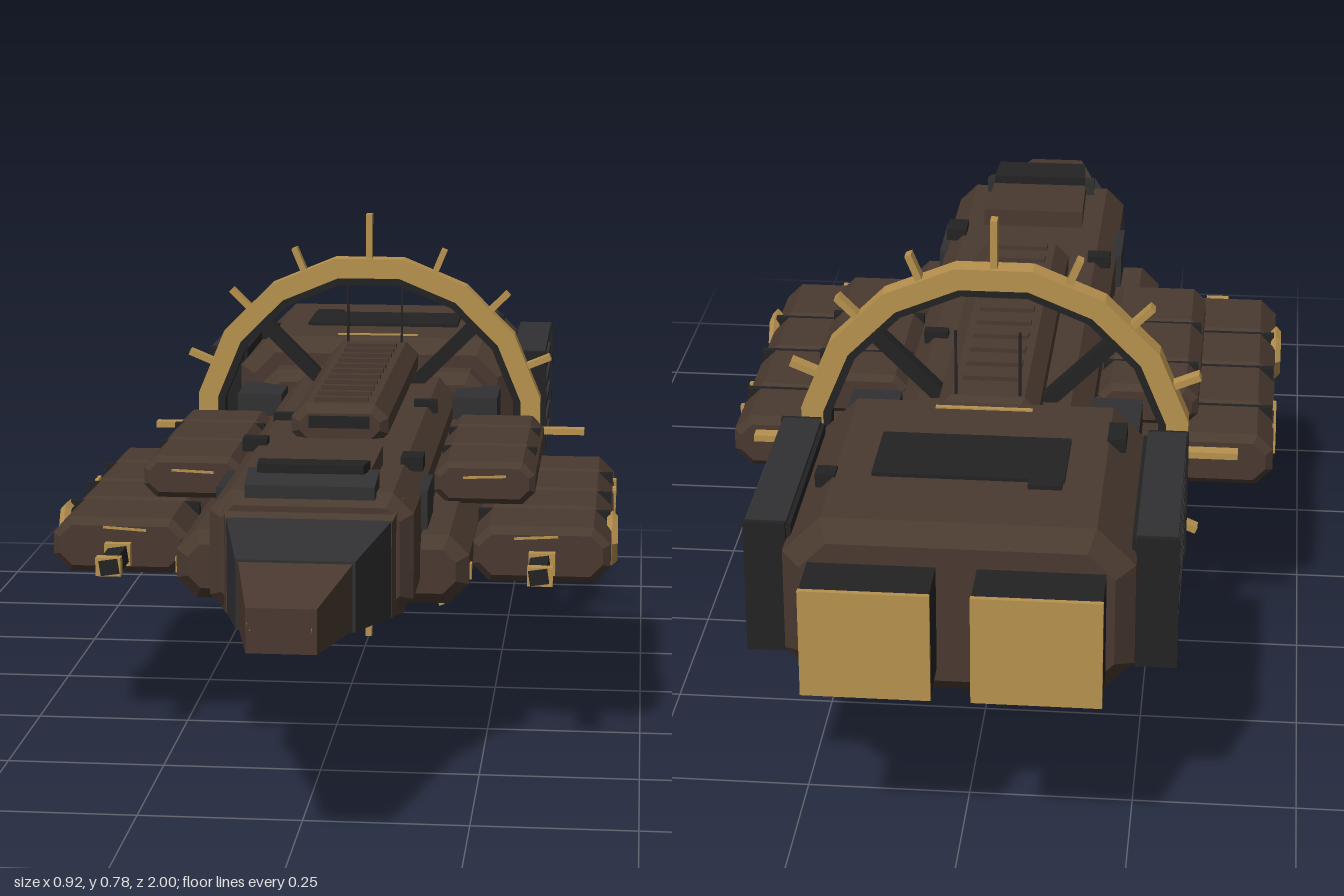
import * as THREE from 'three';

const mat = (color) => new THREE.MeshStandardMaterial({ color, flatShading: true });
const brown = mat(0x4a3a30), dark = mat(0x232324), slate = mat(0x313133), gold = mat(0xb8924e);

// Block with every edge cut at 45 degrees; c = edge cut, k = cut of the long edges
function chamfered(w, h, d, c, k = c) {
  const a = w / 2 - c, b = h / 2 - c;
  const s = new THREE.Shape([[a, k - b], [a, b - k], [a - k, b], [k - a, b], [-a, b - k], [-a, k - b], [k - a, -b], [a - k, -b]]
    .map(([x, y]) => new THREE.Vector2(x, y)));
  const g = new THREE.ExtrudeGeometry(s, { depth: d - 2 * c, bevelThickness: c, bevelSize: c, bevelSegments: 1 });
  return g.translate(0, 0, c - d / 2);
}

// Rectangular frustum between two z stations: [z, halfWidth, bottom, top]
function frustum(back, front) {
  const g = new THREE.BoxGeometry(2, 1, 1), p = g.attributes.position;
  for (let i = 0; i < p.count; i++) {
    const [z, hw, lo, hi] = p.getZ(i) > 0 ? front : back;
    p.setXYZ(i, p.getX(i) * hw, p.getY(i) > 0 ? hi : lo, z);
  }
  g.computeVertexNormals();
  return g;
}

export function createModel() {
  const model = new THREE.Group();
  const add = (name, geo, m, x = 0, y = 0, z = 0, parent = model) => {
    const mesh = new THREE.Mesh(geo, m);
    mesh.name = name;
    mesh.position.set(x, y, z);
    parent.add(mesh);
    return mesh;
  };
  const box = (name, m, w, h, d, x, y, z, parent) => add(name, new THREE.BoxGeometry(w, h, d), m, x, y, z, parent);

  // Hull and nose
  add('lowerHull', chamfered(0.46, 0.11, 0.94, 0.02), brown, 0, 0.325, 0.02);
  add('upperHull', chamfered(0.31, 0.195, 1.09, 0.02), brown, 0, 0.38, 0.095);
  add('noseCollar', frustum([0.6, 0.14, 0.288, 0.465], [0.66, 0.125, 0.295, 0.44]), brown);
  add('noseBand', frustum([0.655, 0.125, 0.295, 0.442], [0.83, 0.087, 0.315, 0.42]), slate);
  add('noseTip', frustum([0.83, 0.083, 0.318, 0.416], [1, 0.05, 0.327, 0.392]), brown);
  for (const s of [-1, 1]) box('noseLight', gold, 0.006, 0.012, 0.004, s * 0.045, 0.365, 1 - 0.002);

  // Bridge with dark visor
  add('bridge', frustum([0.415, 0.09, 0.47, 0.508], [0.595, 0.085, 0.47, 0.5]), brown);
  add('visor', frustum([0.585, 0.1, 0.475, 0.505], [0.645, 0.098, 0.47, 0.49]), slate);
  add('visorBrow', frustum([0.57, 0.085, 0.5, 0.516], [0.635, 0.08, 0.507, 0.52]), dark);

  // Ribbed spine
  add('spine', chamfered(0.16, 0.07, 0.67, 0.014), brown, 0, 0.498, -0.125);
  box('spineGrille', dark, 0.1, 0.02, 0.006, 0, 0.505, 0.21);
  for (let i = 0; i < 11; i++) box('spineRib', brown, 0.09, 0.01, 0.016, 0, 0.535, 0.17 - i * 0.055);

  // Engine block with roof hatch and twin exhausts
  add('neck', chamfered(0.42, 0.2, 0.12, 0.02), brown, 0, 0.385, -0.44);
  add('engineBlock', chamfered(0.51, 0.272, 0.46, 0.028, 0.04), brown, 0, 0.4, -0.68);
  box('roofHatch', dark, 0.285, 0.014, 0.14, 0, 0.535, -0.675);
  box('hatchLatch', dark, 0.05, 0.016, 0.025, -0.115, 0.535, -0.755);
  box('roofTrim', gold, 0.15, 0.005, 0.008, 0, 0.536, -0.5);
  for (const s of [-1, 1]) {
    box('exhaust', dark, 0.185, 0.165, 0.095, s * 0.122, 0.395, -0.945);
    box('exhaustPlate', gold, 0.187, 0.168, 0.008, s * 0.122, 0.395, -0.996);
    box('antenna', dark, 0.004, 0.11, 0.004, s * 0.05, 0.585, -0.44);

    // Finned radiator
    box('radiatorCore', dark, 0.05, 0.195, 0.34, s * 0.272, 0.407, -0.677);
    for (const z of [-0.502, -0.852]) box('radiatorEnd', dark, 0.062, 0.21, 0.01, s * 0.285, 0.405, z);
    for (let i = 0; i < 6; i++) box('radiatorFin', slate, 0.06, 0.012, 0.345, s * 0.283, 0.31 + i * 0.039, -0.677);
  }

  // Loose hull fittings: [x, y, z, width, depth]
  for (const [x, y, z, w, d] of [[-0.21, 0.53, -0.57, 0.028, 0.06], [0.21, 0.53, -0.74, 0.03, 0.03],
    [0.12, 0.478, -0.095, 0.04, 0.02], [-0.11, 0.478, 0.05, 0.035, 0.02], [-0.13, 0.478, 0.265, 0.04, 0.03], [0.135, 0.478, 0.385, 0.035, 0.05]])
    box('hullFitting', dark, w, 0.022, d, x, y, z);

  // Cargo pods, mirrored on both sides
  for (const s of [-1, 1]) {
    const pods = new THREE.Group();
    pods.name = s > 0 ? 'leftPods' : 'rightPods';
    model.add(pods);
    [[-0.22, -0.09], [-0.09, 0.07], [0.07, 0.215], [0.215, 0.37]].forEach(([a, b]) =>
      add('outerPod', chamfered(0.22, 0.09, b - a, 0.012, 0.02), brown, s * 0.338, 0.326, (a + b) / 2, pods));
    [[-0.2, -0.09], [-0.09, 0.075], [0.075, 0.23]].forEach(([a, b]) =>
      add('innerPod', chamfered(0.165, 0.07, b - a, 0.01, 0.015), brown, s * 0.24, 0.411, (a + b) / 2, pods));
    for (const z of [-0.09, 0.07, 0.215]) box('podBand', dark, 0.215, 0.082, 0.012, s * 0.338, 0.326, z, pods);
    for (const z of [-0.09, 0.075]) box('innerBand', dark, 0.158, 0.062, 0.012, s * 0.24, 0.411, z, pods);

    // Trim strips, docking port and gun
    [-0.035, -0.055, -0.125].forEach((z) => {
      box('podStrip', gold, 0.006, 0.05, 0.01, s * 0.449, 0.325, z, pods).rotation.x = 0.12;
    });
    box('podTopStrip', gold, 0.07, 0.004, 0.008, s * 0.33, 0.355, 0.368, pods).rotation.z = s * 0.06;
    box('innerTopStrip', gold, 0.07, 0.004, 0.008, s * 0.24, 0.422, 0.228, pods).rotation.z = s * 0.04;
    const port = add('dockingPort', new THREE.TorusGeometry(0.038, 0.009, 4, 6), gold, s * 0.449, 0.325, 0.23, pods);
    port.rotation.y = Math.PI / 2;
    box('gunMount', gold, 0.042, 0.036, 0.02, s * 0.34, 0.315, 0.375, pods);
    box('gunBarrel', dark, 0.03, 0.026, 0.09, s * 0.338, 0.315, 0.415, pods).rotation.z = 0.15;
    box('gunTip', gold, 0.04, 0.03, 0.018, s * 0.34, 0.315, 0.46, pods);
    box('gunMuzzle', dark, 0.03, 0.024, 0.006, s * 0.338, 0.315, 0.469, pods).rotation.z = 0.15;

    // Hull side panels and lights
    box('sidePanel', slate, 0.02, 0.06, 0.13, s * 0.155, 0.42, 0.415, pods);
    box('sideLight', gold, 0.005, 0.025, 0.015, s * 0.231, 0.32, 0.455, pods);
    box('ringCollar', slate, 0.08, 0.08, 0.13, s * 0.195, 0.42, -0.345, pods);
    box('hullRail', brown, 0.07, 0.06, 0.24, s * 0.185, 0.39, -0.31, pods);
  }

  // Belly turret
  box('turretStem', dark, 0.03, 0.03, 0.03, 0, 0.265, 0.24);
  box('turretBody', dark, 0.032, 0.03, 0.11, 0, 0.247, 0.265).rotation.z = 0.15;
  box('turretTip', gold, 0.042, 0.035, 0.016, 0, 0.244, 0.305);
  box('turretMuzzle', dark, 0.03, 0.024, 0.006, 0, 0.247, 0.315).rotation.z = 0.15;

  // Sixteen-sided ring with spikes and diagonal struts
  const ring = new THREE.Group();
  ring.name = 'ring';
  ring.position.set(0, 0.393, -0.33);
  model.add(ring);
  const polygon = (r) => Array.from({ length: 16 }, (_, i) => {
    const a = (i + 0.5) * Math.PI / 8;
    return new THREE.Vector2(r * Math.cos(a), r * Math.sin(a));
  });
  const hoop = (ro, ri, d) => {
    const s = new THREE.Shape(polygon(ro));
    s.holes.push(new THREE.Path(polygon(ri).reverse()));
    return new THREE.ExtrudeGeometry(s, { depth: d, bevelEnabled: false }).translate(0, 0, -d / 2);
  };
  add('ringHoop', hoop(0.317, 0.281, 0.036), gold, 0, 0, 0, ring);
  add('ringLining', hoop(0.283, 0.268, 0.026), dark, 0, 0, 0, ring);
  for (let i = 0; i < 16; i++) {
    const a = i * Math.PI / 8, end = i % 4 ? 0.355 : 0.391, r = (0.305 + end) / 2;
    box('ringSpike', gold, end - 0.305, 0.011, 0.022, r * Math.cos(a), r * Math.sin(a), 0, ring).rotation.z = a;
  }
  for (let i = 0; i < 4; i++) {
    const a = Math.PI / 4 + i * Math.PI / 2;
    box('ringStrut', dark, 0.18, 0.024, 0.024, 0.19 * Math.cos(a), 0.19 * Math.sin(a), 0, ring).rotation.z = a;
  }
  return model;
}
